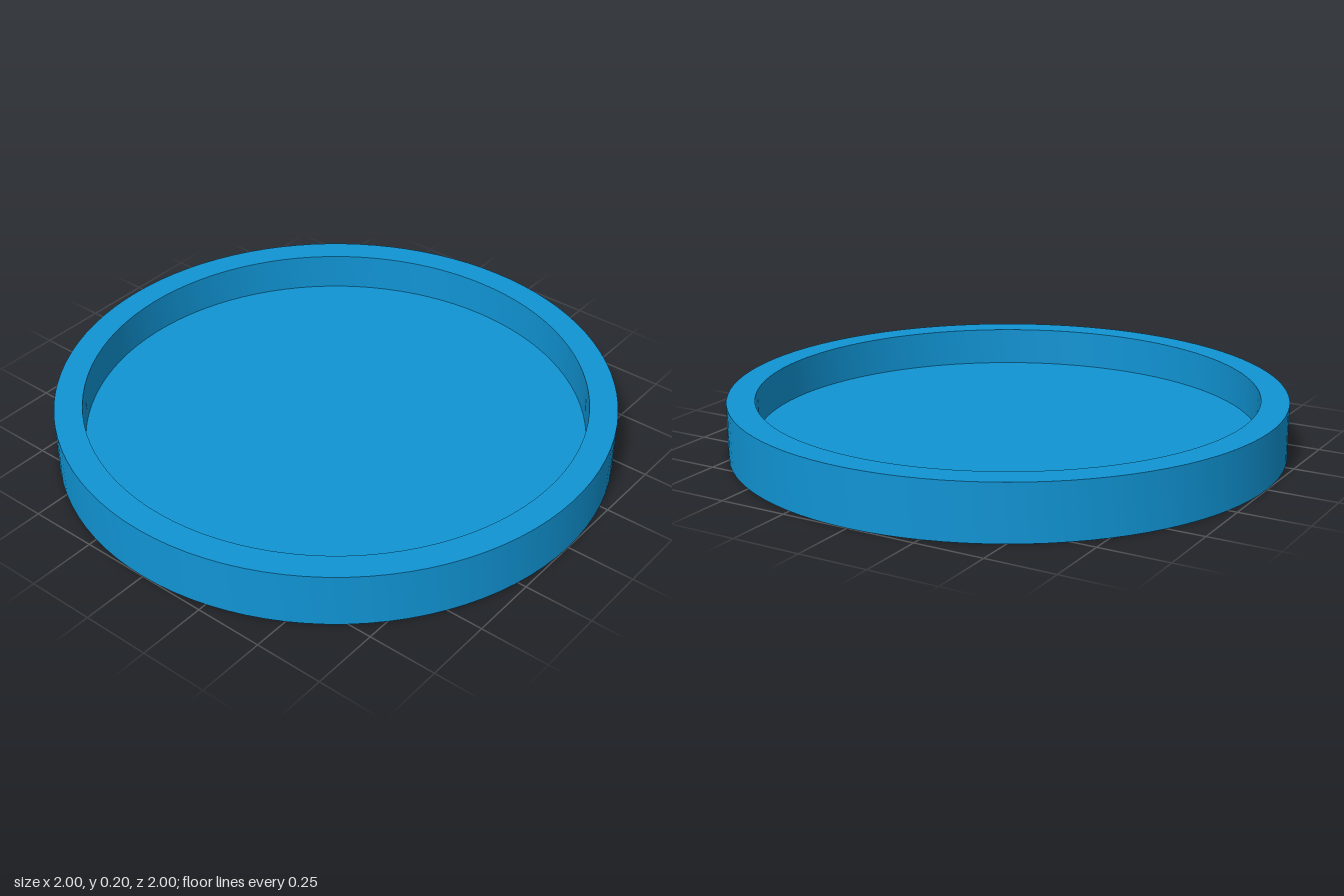
import * as THREE from 'three';
import { toCreasedNormals } from 'three/addons/utils/BufferGeometryUtils.js';

export function createModel() {
  const group = new THREE.Group();
  group.name = 'roundTray';

  const radius = 1, height = 0.2, innerRadius = 0.9, floorY = 0.06;

  // Closed half section, from the centre of the underside round to the centre of the floor
  const profile = [
    [0, 0], [radius, 0], [radius, height],
    [innerRadius, height], [innerRadius, floorY], [0, floorY],
  ].map(([x, y]) => new THREE.Vector2(x, y));

  // Tray body with raised rim, smooth walls and sharp edges
  const geometry = toCreasedNormals(new THREE.LatheGeometry(profile, 96), Math.PI / 6);
  const tray = new THREE.Mesh(geometry, new THREE.MeshStandardMaterial({ color: 0x1094d4 }));
  tray.name = 'tray';
  group.add(tray);

  return group;
}
